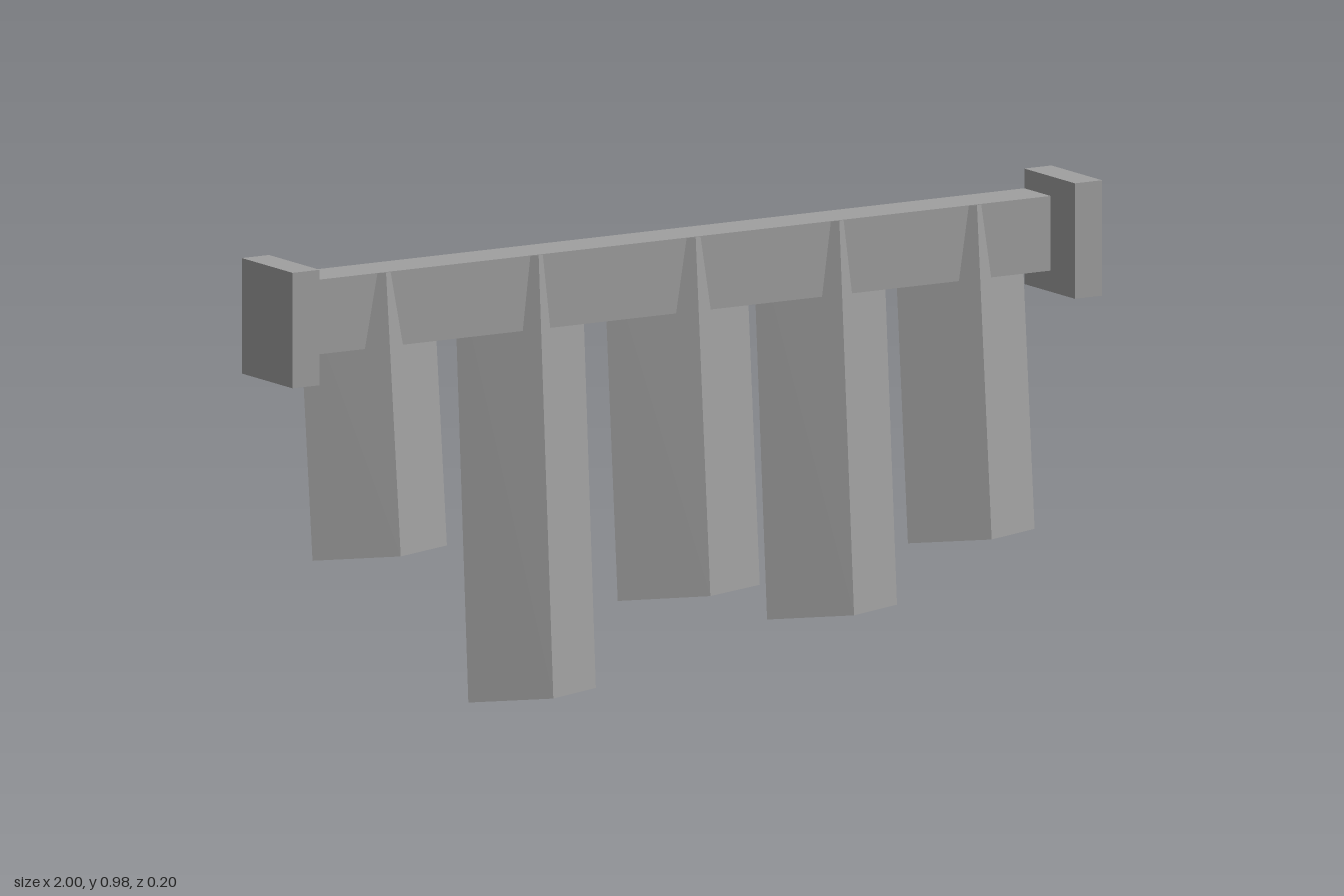
import * as THREE from 'three';

const grey = new THREE.MeshStandardMaterial({ color: 0xa0a0a0, side: THREE.DoubleSide });
grey.name = 'grey';

// Thin-walled box keeping only some faces (order: +x, -x, +y, -y, +z, -z)
function shell(name, [x0, x1], [y0, y1], [z0, z1], firstFace, lastFace) {
  const geo = new THREE.BoxGeometry(x1 - x0, y1 - y0, z1 - z0);
  const index = Array.from(geo.index.array).slice(firstFace * 6, (lastFace + 1) * 6);
  geo.setIndex(index);
  geo.clearGroups();
  geo.translate((x0 + x1) / 2, (y0 + y1) / 2, (z0 + z1) / 2);
  const mesh = new THREE.Mesh(geo, grey);
  mesh.name = name;
  return mesh;
}

// Hanging vane: a sheet folded forward along its middle, leaning out at the bottom
function vane(left, ridge, right, bottom) {
  const rows = [
    { y: 0.935, tip: 0.012, edge: -0.07 },
    { y: bottom, tip: 0.07, edge: -0.013 },
  ];
  const points = rows.flatMap(({ y, tip, edge }) => [
    left, y, edge, ridge, y + 0.006, tip, right, y, edge,
  ]);
  const indexed = new THREE.BufferGeometry();
  indexed.setAttribute('position', new THREE.Float32BufferAttribute(points, 3));
  indexed.setIndex([0, 3, 4, 0, 4, 1, 1, 4, 5, 1, 5, 2]);
  const geo = indexed.toNonIndexed();
  geo.computeVertexNormals();
  const mesh = new THREE.Mesh(geo, grey);
  mesh.name = 'vane';
  return mesh;
}

export function createModel() {
  const model = new THREE.Group();
  model.name = 'vaneRail';

  // Channel rail, open at the back and at both ends
  model.add(shell('rail', [-0.94, 0.94], [0.782, 0.941], [-0.1, 0.004], 2, 4));

  // End brackets, open at the back
  const yRange = [0.737, 0.983], zRange = [-0.1, 0.1];
  model.add(shell('leftBracket', [0.933, 1], yRange, zRange, 0, 4));
  model.add(shell('rightBracket', [-1, -0.933], yRange, zRange, 0, 4));

  // Vanes: left edge, fold, right edge, bottom height
  const vanes = [
    [-0.88, -0.714, -0.548, 0.34],
    [-0.495, -0.337, -0.18, 0],
    [-0.126, 0.051, 0.225, 0.18],
    [0.243, 0.406, 0.564, 0.104],
    [0.591, 0.746, 0.904, 0.232],
  ];
  for (const v of vanes) model.add(vane(...v));

  return model;
}
